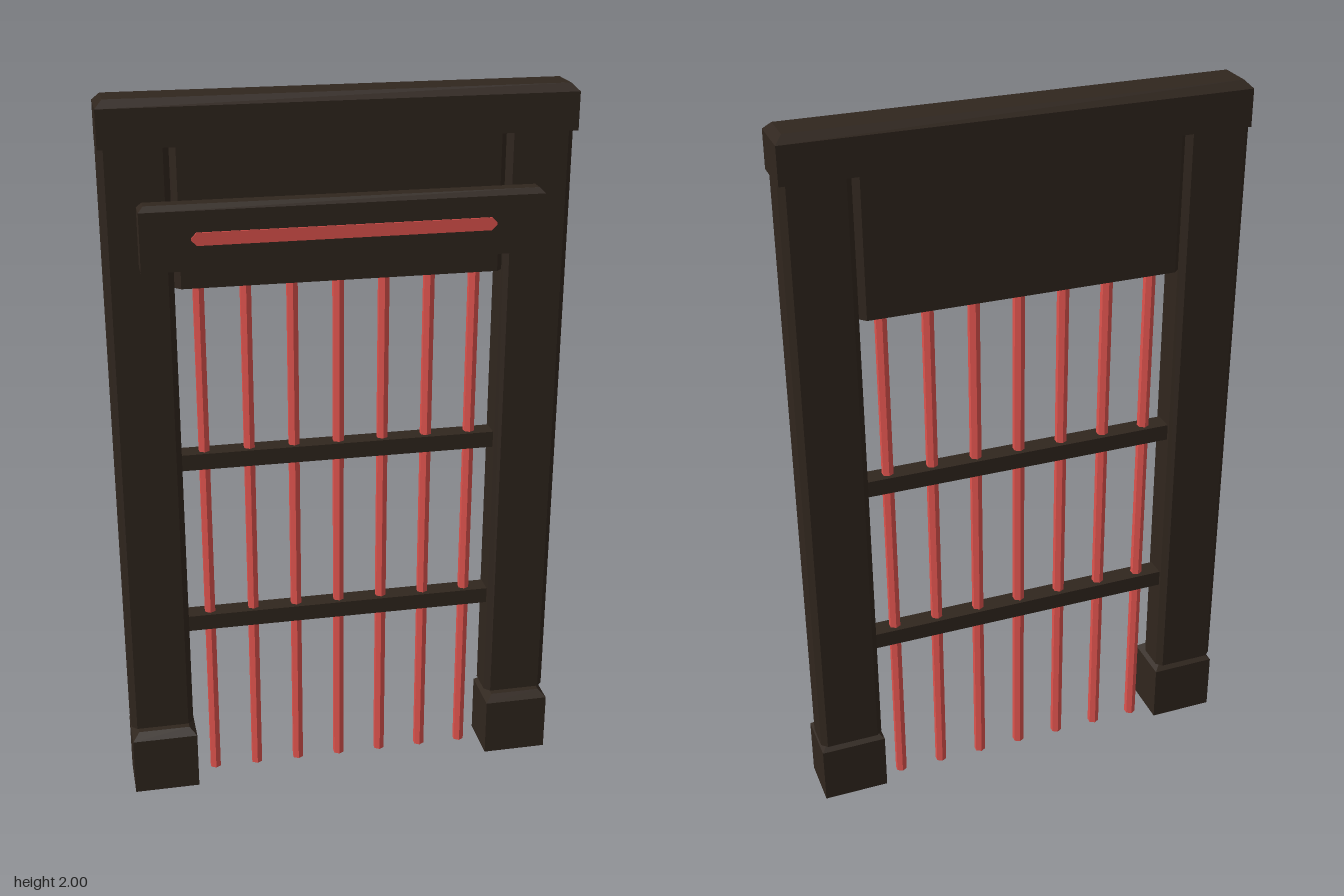
import * as THREE from 'three';

const dark = new THREE.MeshStandardMaterial({ color: 0x30261e, flatShading: true });
const red = new THREE.MeshStandardMaterial({ color: 0xe0544e, flatShading: true });

function add(parent, name, geometry, material, x = 0, y = 0, z = 0) {
  const mesh = new THREE.Mesh(geometry, material);
  mesh.name = name;
  mesh.position.set(x, y, z);
  parent.add(mesh);
  return mesh;
}

// Rectangle with cut corners, centred on the origin
function cutRect(w, h, c) {
  const x = w / 2, y = h / 2;
  return new THREE.Shape([
    [x, c - y], [x, y - c], [x - c, y], [c - x, y],
    [-x, y - c], [-x, c - y], [c - x, -y], [x - c, -y],
  ].map(([a, b]) => new THREE.Vector2(a, b)));
}

// Upright block with chamfered vertical edges, standing on y = 0
function upright(w, h, d, c) {
  const geo = new THREE.ExtrudeGeometry(cutRect(w, d, c), { depth: h, bevelEnabled: false });
  return geo.rotateX(-Math.PI / 2);
}

// Block standing on y = 0 whose top edges are chamfered all round
function cappedBlock(w, h, d, c) {
  const geo = new THREE.BoxGeometry(w, h, d, 1, 2, 1).translate(0, h / 2, 0);
  const p = geo.attributes.position;
  for (let i = 0; i < p.count; i++) {
    const y = p.getY(i);
    if (y > h * 0.75) {
      p.setX(i, Math.sign(p.getX(i)) * (w / 2 - c));
      p.setZ(i, Math.sign(p.getZ(i)) * (d / 2 - c));
    } else if (y > h * 0.25) {
      p.setY(i, h - c);
    }
  }
  geo.computeVertexNormals();
  return geo;
}

export function createModel() {
  const gate = new THREE.Group();
  gate.name = 'gate';
  const back = -0.087;

  // Posts and their footings
  for (const [side, s] of [['left', 1], ['right', -1]]) {
    add(gate, `${side}Post`, upright(0.18, 1.71, 0.107, 0.016), dark, s * 0.53, 0.19, back + 0.0535);
    add(gate, `${side}Footing`, cappedBlock(0.185, 0.19, 0.145, 0.02), dark, s * 0.5275, 0, back + 0.0725);
  }

  // Lintel and the panel filling the top of the opening
  add(gate, 'lintel', cappedBlock(1.24, 0.12, 0.135, 0.02), dark, 0, 1.88, back + 0.0675);
  add(gate, 'upperPanel', upright(0.88, 0.39, 0.107, 0.016), dark, 0, 1.505, back + 0.0535);

  // Sign board with a glowing strip
  add(gate, 'signBoard', cappedBlock(1.06, 0.17, 0.066, 0.014), dark, 0, 1.57, 0.048);
  const strip = new THREE.ExtrudeGeometry(cutRect(0.8, 0.034, 0.014), { depth: 0.01, bevelEnabled: false });
  add(gate, 'lightStrip', strip, red, 0, 1.653, 0.075);

  // Vertical bars
  const bar = new THREE.CylinderGeometry(0.0165, 0.0165, 1.52, 6).translate(0, 0.76, 0);
  for (let i = -3; i <= 3; i++) add(gate, `bar${i + 4}`, bar, red, i * 0.125, 0, -0.035);

  // Cross rails
  const rail = new THREE.BoxGeometry(0.9, 0.046, 0.056);
  add(gate, 'lowerRail', rail, dark, 0, 0.504, -0.035);
  add(gate, 'upperRail', rail, dark, 0, 1.003, -0.035);

  return gate;
}
